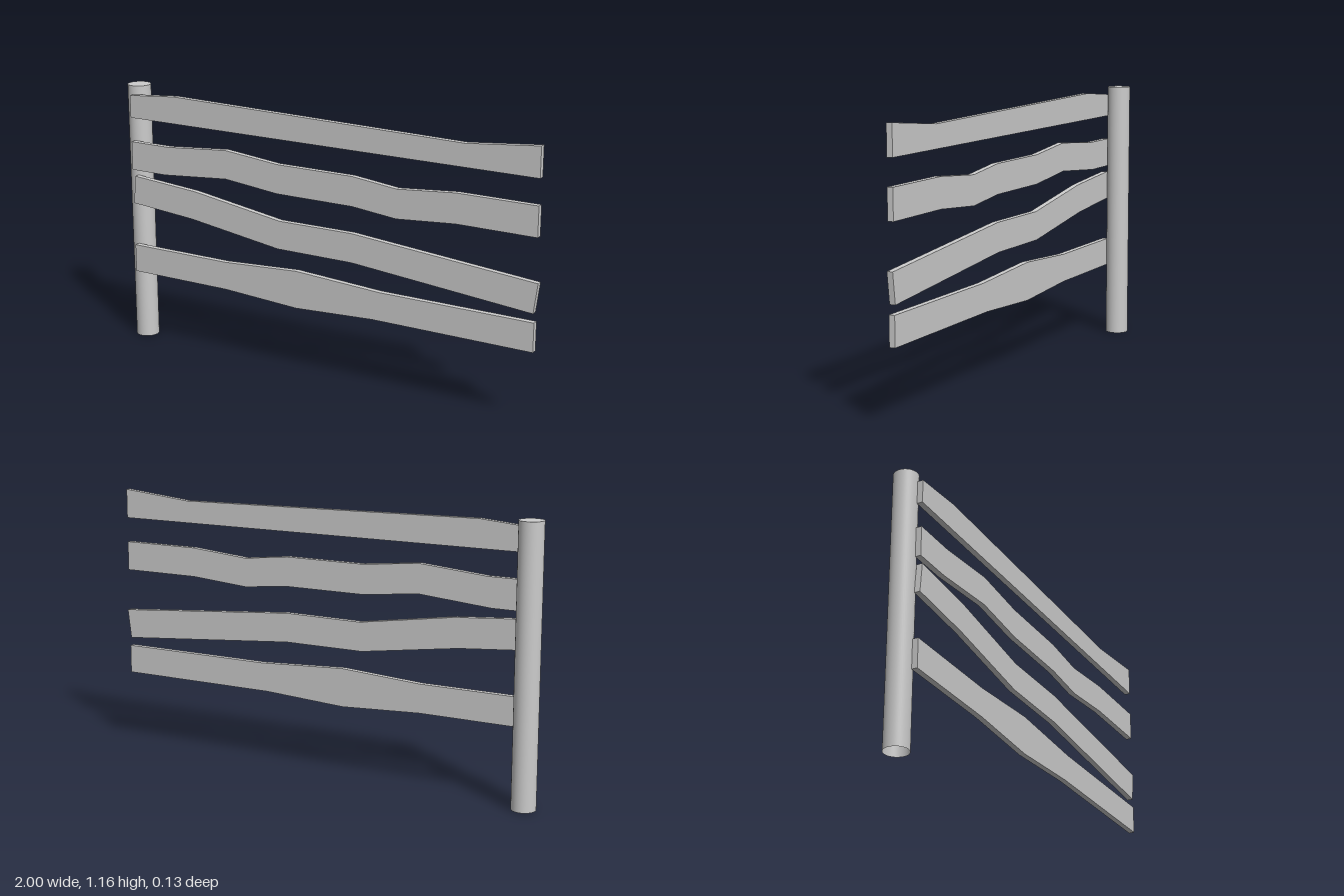
import * as THREE from 'three';

const material = new THREE.MeshStandardMaterial({ color: 0xcccccc });
const openMaterial = new THREE.MeshStandardMaterial({ color: 0xcccccc, side: THREE.DoubleSide });

const POST = { x: -0.949, z: -0.012, radius: 0.051, height: 1.163 };
const RAIL_BACK = 0.038, RAIL_DEPTH = 0.025;

// Each board: upper and lower edge, both listed from the post outwards
const rails = {
  topRail: {
    upper: [[-0.945, 1.125], [-0.71, 1.145], [0.67, 1.122], [0.99, 1.153]],
    lower: [[-0.945, 1.026], [0.99, 1.026]],
  },
  upperRail: {
    upper: [[-0.945, 0.918], [-0.75, 0.918], [-0.45, 0.944], [-0.19, 0.918], [0.17, 0.918], [0.375, 0.895], [0.64, 0.918], [0.99, 0.918]],
    lower: [[-0.945, 0.791], [-0.77, 0.791], [-0.45, 0.818], [-0.19, 0.791], [0.17, 0.791], [0.375, 0.77], [0.64, 0.791], [0.99, 0.791]],
  },
  saggingRail: {
    upper: [[-0.932, 0.763], [-0.61, 0.738], [-0.18, 0.673], [0.17, 0.675], [1, 0.607]],
    lower: [[-0.943, 0.638], [-0.63, 0.612], [-0.19, 0.549], [0.17, 0.549], [0.984, 0.48]],
  },
  bottomRail: {
    upper: [[-0.945, 0.443], [-0.46, 0.443], [-0.1, 0.465], [0.3, 0.443], [0.99, 0.443]],
    lower: [[-0.945, 0.319], [-0.46, 0.319], [-0.1, 0.299], [0.27, 0.319], [0.99, 0.319]],
  },
};

function makeRail(name, { upper, lower }) {
  const outline = [...lower, ...[...upper].reverse()].map(([x, y]) => new THREE.Vector2(x, y));
  const geometry = new THREE.ExtrudeGeometry(new THREE.Shape(outline), { depth: RAIL_DEPTH, bevelEnabled: false });
  const mesh = new THREE.Mesh(geometry, material);
  mesh.name = name;
  mesh.position.z = RAIL_BACK;
  return mesh;
}

function makePost() {
  const post = new THREE.Group();
  post.name = 'post';
  // Round shaft, open underneath
  const shaft = new THREE.Mesh(
    new THREE.CylinderGeometry(POST.radius, POST.radius, POST.height, 48, 1, true), openMaterial);
  shaft.name = 'postShaft';
  shaft.position.y = POST.height / 2;
  // Flat top
  const cap = new THREE.Mesh(new THREE.CircleGeometry(POST.radius, 48), material);
  cap.name = 'postTop';
  cap.rotation.x = -Math.PI / 2;
  cap.position.y = POST.height;
  post.add(shaft, cap);
  post.position.set(POST.x, 0, POST.z);
  return post;
}

export function createModel() {
  const fence = new THREE.Group();
  fence.name = 'fenceSection';
  fence.add(makePost());
  for (const [name, edges] of Object.entries(rails)) fence.add(makeRail(name, edges));
  return fence;
}
